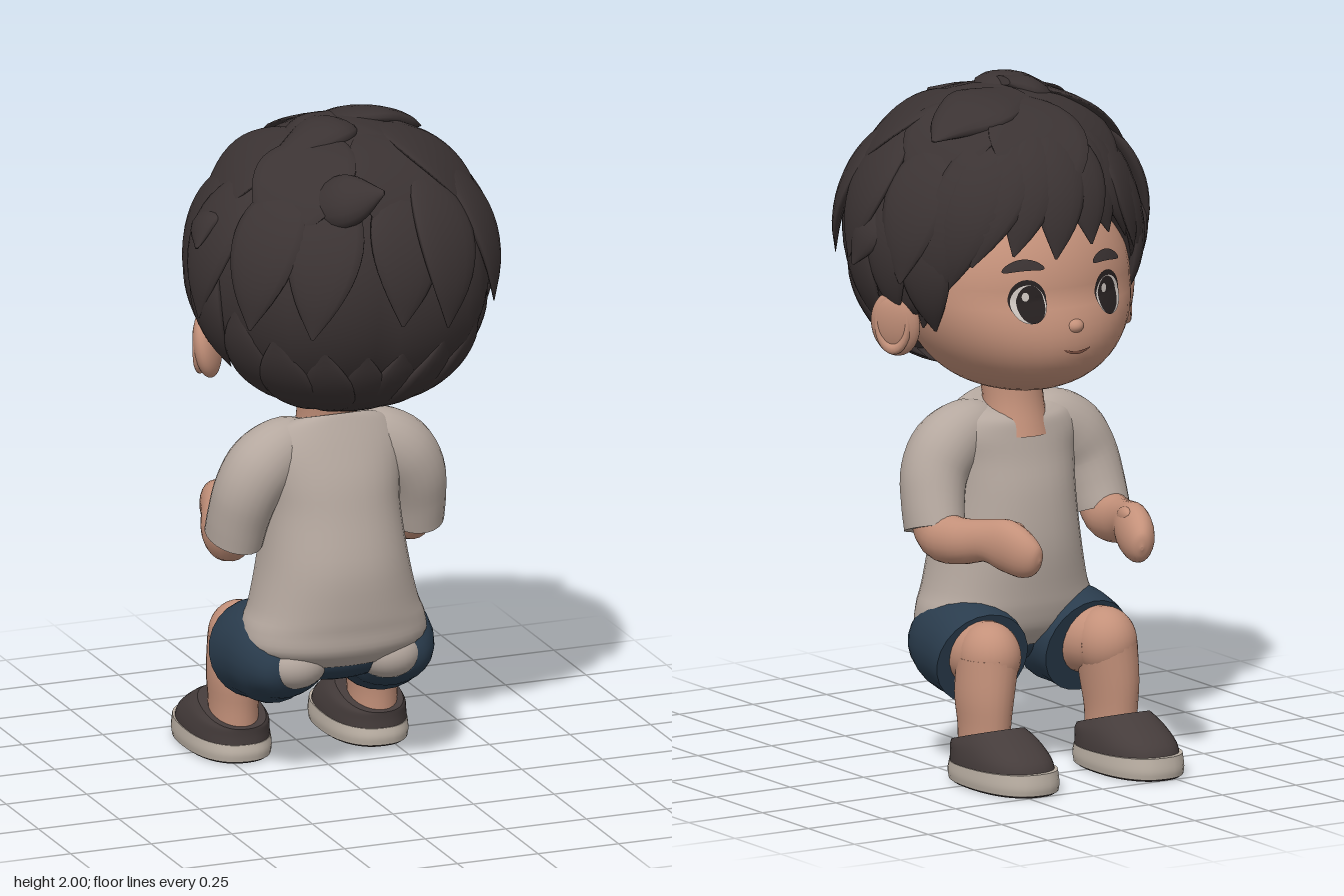
import * as THREE from 'three';
import { mergeVertices } from 'three/addons/utils/BufferGeometryUtils.js';

const V = (x, y, z) => new THREE.Vector3(x, y, z);
const X = V(1, 0, 0), Z = V(0, 0, 1);
const mat = (name, color) => {
  const m = new THREE.MeshStandardMaterial({ color, side: THREE.DoubleSide });
  m.name = name;
  return m;
};

// Smooth body swept through rows of [x, y, z, radiusA, radiusB, slope].
// radiusA lies along ref; flat keeps the rings level, tipped only by slope;
// power under 1 squares the rings off.
function loft(rows, { ref = X, flat = false, steps = 4, sides = 24, power = 1 } = {}) {
  const path = new THREE.CatmullRomCurve3(rows.map(r => V(r[0], r[1], r[2])), false, 'catmullrom', 0.5);
  const size = new THREE.CatmullRomCurve3(rows.map(r => V(r[3], r[4], r[5] || 0)), false, 'catmullrom', 0.5);
  const n = (rows.length - 1) * steps, pos = [], idx = [];
  const pw = v => Math.sign(v) * Math.abs(v) ** power;
  const ring = t => {
    const p = path.getPoint(t), s = size.getPoint(t);
    const T = flat ? V(0, 1, 0) : path.getTangent(t);
    const R = (typeof ref === 'function' ? ref(p) : ref).clone();
    const S = R.addScaledVector(T, -R.dot(T)).normalize(), U = T.clone().cross(S);
    for (let j = 0; j < sides; j++) {
      const a = j / sides * Math.PI * 2;
      const q = p.clone().addScaledVector(S, pw(Math.cos(a)) * s.x).addScaledVector(U, pw(Math.sin(a)) * s.y);
      q.y += s.z * (q.z - p.z);
      pos.push(q.x, q.y, q.z);
    }
    return p;
  };
  for (let i = 0; i <= n; i++) ring(i / n);
  for (let i = 0; i < n; i++) for (let j = 0; j < sides; j++) {
    const a = i * sides + j, b = i * sides + (j + 1) % sides;
    idx.push(a, b, a + sides, b, b + sides, a + sides);
  }
  // crisp caps on their own vertices
  for (const t of [0, 1]) {
    const first = pos.length / 3, p = ring(t), c = pos.length / 3;
    pos.push(p.x, p.y, p.z);
    for (let j = 0; j < sides; j++) {
      const a = first + j, b = first + (j + 1) % sides;
      t ? idx.push(c, a, b) : idx.push(c, b, a);
    }
  }
  const g = new THREE.BufferGeometry();
  g.setAttribute('position', new THREE.Float32BufferAttribute(pos, 3));
  g.setIndex(idx);
  g.computeVertexNormals();
  return g;
}

// Hair volume: azimuth is measured from the face (+ to the left), polar from the top
const HC = V(0, 1.55, 0.07), HR = 0.425, D = Math.PI / 180;
const wrap = az => ((az % 360) + 540) % 360 - 180;
function lookup(table, a) {
  const k = Math.max(1, table.findIndex(e => e[0] >= a));
  const [a0, v0] = table[k - 1], [a1, v1] = table[k];
  return v0 + (v1 - v0) * (a - a0) / (a1 - a0);
}
// fuller at the back corners, flat beside the parting
const SWELL = [[-180, -0.015], [-140, 0.04], [-115, 0.015], [-90, 0.015], [-70, -0.012], [-45, -0.045], [-22, -0.045], [-6, 0],
  [25, 0.005], [40, 0.015], [60, -0.005], [90, 0.01], [115, 0.012], [140, 0.04], [180, -0.015]];
const EDGE = [[0, 76], [40, 80], [52, 98], [62, 116], [76, 117], [84, 104], [95, 112], [108, 140], [140, 154], [180, 164]];
const hairEdge = az => lookup(EDGE, Math.abs(wrap(az)));
function hairPoint(az, pol, lift = 0) {
  const s = Math.sin(pol * D);
  const r = HR + lift + lookup(SWELL, wrap(az)) * s * s;
  return V(Math.sin(az * D) * s, Math.cos(pol * D), -Math.cos(az * D) * s).multiplyScalar(r).add(HC);
}

// Face surface depth
const HEAD_W = 0.343;
const headZ = (x, y) => {
  const nx = x / HEAD_W, ny = (y - 1.42) / 0.32;
  return -0.02 - Math.sqrt(Math.max(0, 1 - nx * nx - ny * ny)) * (0.31 + 0.16 * Math.max(0, -ny));
};
// Thin oval laid on the face; bow bends it, tilt turns it
function facePatch(cx, cy, rx, ry, lift, bow = 0, tilt = 0) {
  const g = new THREE.RingGeometry(0, 1, 28, 5), p = g.attributes.position;
  for (let i = 0; i < p.count; i++) {
    const u = -p.getX(i) * rx, v = p.getY(i) * ry + bow * (u / rx) ** 2 + tilt * u;
    p.setXYZ(i, cx + u, cy + v, headZ(cx + u, cy + v) - lift);
  }
  g.computeVertexNormals();
  return g;
}

export function createModel() {
  const model = new THREE.Group();
  model.name = 'seatedChild';
  const skin = mat('skin', 0xc4917a), hair = mat('hair', 0x3b3333), shirt = mat('shirt', 0xb5a89f),
    shorts = mat('shorts', 0x2a3c4d), shoe = mat('shoe', 0x453c3b), rubber = mat('rubber', 0xbbb0a4),
    dark = mat('dark', 0x272121), white = mat('eyeWhite', 0xd0c8c2), lip = mat('lip', 0x8a5a4a);
  const add = (name, geo, m, parent = model) => {
    const mesh = new THREE.Mesh(geo, m);
    mesh.name = name;
    parent.add(mesh);
    return mesh;
  };
  const ball = (name, m, p, s, rot = [0, 0, 0]) => {
    const b = add(name, new THREE.SphereGeometry(1, 28, 20), m);
    b.position.set(...p);
    b.scale.set(...s);
    b.rotation.set(...rot);
  };

  // Head with full cheeks
  let head = new THREE.SphereGeometry(1, 48, 36);
  const hp = head.attributes.position;
  for (let i = 0; i < hp.count; i++) {
    const y = hp.getY(i), z = hp.getZ(i);
    hp.setXYZ(i, hp.getX(i) * HEAD_W, 1.42 + y * 0.32, -0.02 + z * (0.31 + (z < 0 ? 0.16 * Math.max(0, -y) : 0)));
  }
  head.deleteAttribute('uv');
  head.deleteAttribute('normal');
  head = mergeVertices(head, 1e-5);
  head.computeVertexNormals();
  add('head', head, skin);
  ball('nose', skin, [0, 1.338, -0.338], [0.03, 0.024, 0.034]);
  add('mouth', facePatch(0, 1.262, 0.045, 0.005, 0.003, 0.012), lip);
  add('neck', loft([[0, 0.97, -0.03, 0.1, 0.095], [0, 1.08, -0.01, 0.088, 0.09], [0, 1.22, 0.01, 0.1, 0.11]], { flat: true }), skin);

  // Hair cap, closed inside the head
  const cap = new THREE.SphereGeometry(1, 72, 24), cp = cap.attributes.position;
  for (let r = 0; r <= 24; r++) for (let c = 0; c <= 72; c++) {
    const az = -c * 5, q = r === 24 ? HC : hairPoint(az, hairEdge(az) * r / 23);
    cp.setXYZ(r * 73 + c, q.x, q.y, q.z);
  }
  cap.computeVertexNormals();
  add('hairCap', cap, hair);

  // Hair locks in overlapping layers
  const locks = new THREE.Group();
  locks.name = 'hairLocks';
  model.add(locks);
  let seed = 7;
  const rnd = () => (seed = (seed * 16807) % 2147483647) / 2147483647;
  const outward = p => p.clone().sub(HC);
  const lock = (az0, p0, az1, p1, w, thick, rise = 0) => {
    const rows = [0.05, 0.7, 1, 0.95, 0.6, 0.04].map((k, i) => {
      const t = i / 5, q = hairPoint(az0 + (az1 - az0) * t, p0 + (p1 - p0) * t, rise * t * t - 0.004);
      return [q.x, q.y, q.z, thick * k, w * k];
    });
    add('hairLock', loft(rows, { ref: outward, steps: 3, sides: 14 }), hair, locks);
  };
  for (let i = 0; i < 7; i++) {
    const a = i * 51 + rnd() * 14;
    lock(a, 12, a + 16, 66 + rnd() * 10, 0.15, 0.016, 0.008);
  }
  for (let i = 0; i < 10; i++) {
    const a = 60 + i * 26.7 + rnd() * 10, e = Math.min(hairEdge(a) - 5, 96);
    lock(a, 38, a + 8, e + rnd() * 8, 0.11, 0.024, 0.03);
  }
  for (let i = 0; i < 14; i++) {
    const a = 62 + i * 18.2, e = hairEdge(a);
    lock(a, e - 48, a, e + 7 + rnd() * 4, 0.082, 0.024, e > 130 ? 0.006 : 0.012);
  }
  // bangs fan out from the parting, sideburns in front of the ears
  [[-69, 123], [-56, 104], [-42, 90], [-25, 85], [-8, 87], [9, 91], [26, 89], [42, 93], [55, 106], [69, 123]].forEach(([a, tip]) =>
    lock(-10 + (a + 10) * 0.55, 30, a, tip, 0.088, 0.026, 0.006));
  // Loose tufts
  const tuft = rows => add('hairTuft', loft(rows, { ref: outward, sides: 16 }), hair, locks);
  tuft([[-0.2, 1.8, 0.3, 0.02, 0.03], [-0.13, 1.83, 0.38, 0.05, 0.08], [-0.08, 1.85, 0.43, 0.045, 0.07], [-0.02, 1.88, 0.485, 0.004, 0.006]]);
  tuft([[0.02, 1.95, 0.08, 0.02, 0.05], [-0.05, 1.965, 0.12, 0.035, 0.09], [-0.16, 1.93, 0.16, 0.03, 0.06], [-0.31, 1.87, 0.2, 0.003, 0.006]]);
  tuft([[-0.02, 1.95, 0, 0.02, 0.06], [0.12, 1.94, -0.04, 0.03, 0.12], [0.23, 1.905, -0.06, 0.03, 0.08], [0.32, 1.87, -0.09, 0.003, 0.006]]);
  tuft([[-0.18, 1.9, 0.05, 0.02, 0.04], [-0.09, 1.95, 0.06, 0.04, 0.08], [-0.01, 1.985, 0.06, 0.012, 0.04]]);
  tuft([[-0.36, 1.75, 0.08, 0.015, 0.05], [-0.42, 1.72, 0.1, 0.025, 0.07], [-0.465, 1.66, 0.14, 0.003, 0.006]]);
  tuft([[0.41, 1.66, 0.06, 0.015, 0.05], [0.44, 1.58, 0.08, 0.025, 0.07], [0.468, 1.49, 0.11, 0.003, 0.006]]);

  // Shirt body, collar lower at the front
  add('shirtBody', loft([
    [0, 0.35, 0.04, 0.2, 0.13], [0, 0.4, 0.04, 0.272, 0.175], [0, 0.46, 0.035, 0.272, 0.188], [0, 0.52, 0.035, 0.248, 0.195],
    [0, 0.65, 0.03, 0.218, 0.2], [0, 0.8, 0.02, 0.2, 0.175], [0, 0.9, 0.02, 0.205, 0.15], [0, 0.98, 0.01, 0.215, 0.125, 0.1],
    [0, 1.035, 0, 0.185, 0.105, 0.25], [0, 1.057, 0, 0.135, 0.092, 0.33], [0, 1.06, 0, 0.095, 0.086, 0.33],
  ], { flat: true, sides: 36, power: 0.92 }), shirt);
  ball('hips', shorts, [0, 0.37, 0.04], [0.22, 0.09, 0.13]);

  for (const s of [1, -1]) {
    const side = s > 0 ? 'left' : 'right';
    const m = rows => rows.map(([x, ...r]) => [x * s, ...r]);

    // Face details
    add(side + 'Lash', facePatch(s * 0.135, 1.42, 0.053, 0.06, 0.003), dark);
    add(side + 'EyeWhite', facePatch(s * 0.135, 1.41, 0.049, 0.055, 0.005), white);
    add(side + 'Iris', facePatch(s * 0.13, 1.41, 0.039, 0.054, 0.007), dark);
    add(side + 'Glint', facePatch(s * 0.13 + 0.014, 1.432, 0.01, 0.013, 0.009), white);
    add(side + 'Brow', facePatch(s * 0.14, 1.522, 0.058, 0.016, 0.007, -0.014, s * -0.06), hair);

    // Ear flaring outward and back
    ball(side + 'Ear', skin, [s * 0.382, 1.322, 0.015], [0.038, 0.098, 0.075], [0, s * 0.62, s * -0.15]);
    const rim = add(side + 'EarRim', new THREE.TorusGeometry(0.058, 0.013, 10, 28), skin);
    rim.position.set(s * 0.398, 1.326, 0.004);
    rim.scale.set(0.8, 1.3, 1);
    rim.rotation.set(0, s * (Math.PI / 2 + 0.62), 0);

    // Sleeve, arm and hand
    add(side + 'Sleeve', loft(m([
      [0.07, 1.0, 0.01, 0.06, 0.06], [0.14, 0.985, 0.013, 0.085, 0.09], [0.21, 0.938, 0.016, 0.1, 0.102],
      [0.253, 0.87, 0.01, 0.1, 0.098], [0.272, 0.79, -0.012, 0.098, 0.09], [0.28, 0.715, -0.035, 0.1, 0.084],
    ]), { ref: Z }), shirt);
    add(side + 'Arm', loft(m([
      [0.28, 0.77, -0.02, 0.068, 0.07], [0.281, 0.705, -0.07, 0.068, 0.075], [0.268, 0.7, -0.16, 0.06, 0.068],
      [0.242, 0.715, -0.25, 0.05, 0.062], [0.215, 0.71, -0.32, 0.052, 0.078], [0.195, 0.69, -0.385, 0.046, 0.07],
      [0.178, 0.68, -0.425, 0.028, 0.044], [0.173, 0.677, -0.437, 0.004, 0.006],
    ])), skin);
    ball(side + 'Thumb', skin, [s * 0.195, 0.748, -0.31], [0.022, 0.028, 0.055], [0.25, s * 0.3, 0]);

    // Shorts leg, with the shirt tail tucked round the seat
    add(side + 'ShortsLeg', loft(m([
      [0.135, 0.34, 0.135, 0.08, 0.055], [0.145, 0.345, 0.1, 0.125, 0.1], [0.16, 0.358, 0.03, 0.148, 0.145],
      [0.172, 0.355, -0.06, 0.148, 0.15], [0.178, 0.335, -0.13, 0.146, 0.143],
    ])), shorts);
    ball(side + 'ShirtTail', shirt, [s * 0.145, 0.355, 0.1], [0.095, 0.075, 0.085]);

    // Thigh, knee and shin
    add(side + 'Thigh', loft(m([[0.18, 0.35, -0.08, 0.1, 0.1], [0.19, 0.358, -0.15, 0.098, 0.1], [0.197, 0.358, -0.2, 0.09, 0.096]])), skin);
    ball(side + 'Knee', skin, [s * 0.197, 0.358, -0.198], [0.09, 0.102, 0.1]);
    add(side + 'Shin', loft(m([
      [0.215, 0.08, -0.2, 0.07, 0.09], [0.215, 0.16, -0.2, 0.07, 0.095], [0.212, 0.25, -0.196, 0.08, 0.104], [0.2, 0.36, -0.198, 0.088, 0.099],
    ]), { flat: true }), skin);

    // Shoe
    const shoeForm = { flat: true, sides: 36, power: 0.85 };
    add(side + 'Outsole', loft(m([[0.212, 0, -0.3, 0.112, 0.2], [0.212, 0.006, -0.3, 0.118, 0.206]]), shoeForm), shoe);
    add(side + 'Sole', loft(m([[0.212, 0.006, -0.3, 0.12, 0.209], [0.212, 0.03, -0.3, 0.123, 0.212], [0.212, 0.062, -0.3, 0.12, 0.206, -0.03]]), shoeForm), rubber);
    add(side + 'ShoeUpper', loft(m([
      [0.212, 0.05, -0.295, 0.118, 0.199], [0.212, 0.085, -0.285, 0.115, 0.188, -0.04],
      [0.212, 0.118, -0.25, 0.106, 0.154, -0.14], [0.213, 0.138, -0.217, 0.09, 0.122, -0.28],
    ]), shoeForm), shoe);
  }
  return model;
}
